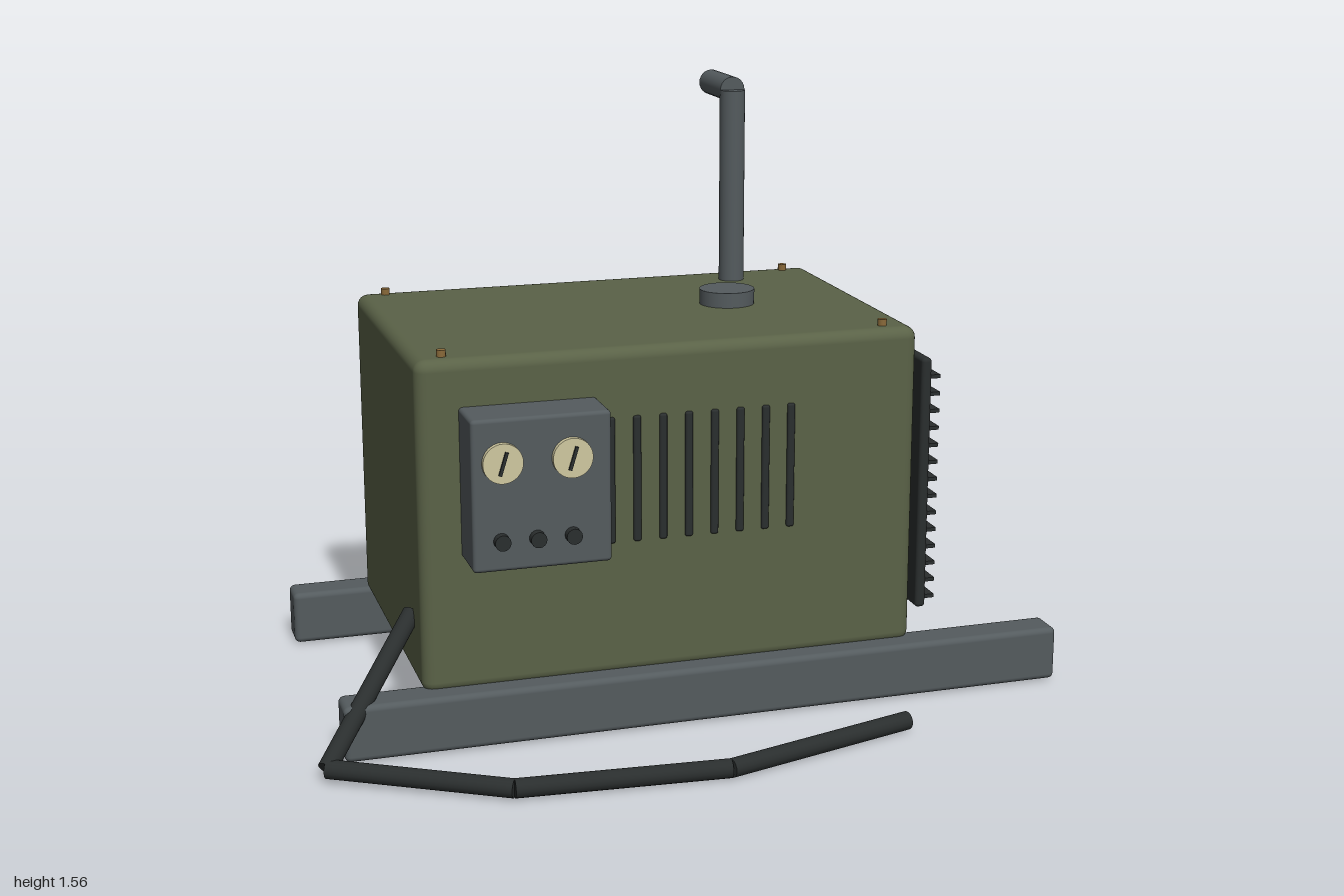
import * as THREE from 'three';
import { RoundedBoxGeometry } from 'three/addons/geometries/RoundedBoxGeometry.js';

const paint = (color) => new THREE.MeshStandardMaterial({ color });

export function createModel() {
  const model = new THREE.Group();
  const green = paint(0x5a6247);
  const steel = paint(0x545b5e);
  const dark = paint(0x2a2e2e);
  const dial = paint(0xcfc8a0);
  const brass = paint(0x8a6a3a);

  const add = (name, geometry, material, x, y, z) => {
    const mesh = new THREE.Mesh(geometry, material);
    mesh.name = name;
    mesh.position.set(x, y, z);
    model.add(mesh);
    return mesh;
  };

  // Box given by its [min, max] extents, optionally with rounded edges
  const box = (name, material, [x0, x1], [y0, y1], [z0, z1], radius = 0) => {
    const size = [x1 - x0, y1 - y0, z1 - z0];
    const geometry = radius
      ? new RoundedBoxGeometry(...size, 3, radius)
      : new THREE.BoxGeometry(...size);
    return add(name, geometry, material, (x0 + x1) / 2, (y0 + y1) / 2, (z0 + z1) / 2);
  };

  // Cylinder between two points
  const rod = (name, material, from, to, radius, sides = 24) => {
    const a = new THREE.Vector3(...from);
    const b = new THREE.Vector3(...to);
    const axis = b.clone().sub(a);
    const mesh = add(name, new THREE.CylinderGeometry(radius, radius, axis.length(), sides),
      material, ...a.clone().add(b).multiplyScalar(0.5).toArray());
    mesh.quaternion.setFromUnitVectors(new THREE.Vector3(0, 1, 0), axis.normalize());
    return mesh;
  };

  // Housing and skids
  box('housing', green, [-0.71, 0.6], [0.14, 0.997], [-0.603, 0.24], 0.03);
  box('frontSkid', steel, [-0.92, 1], [0.01, 0.155], [0.2, 0.3], 0.015);
  box('backSkid', steel, [-0.92, 1], [0.01, 0.155], [-0.665, -0.565], 0.015);

  // Radiator with horizontal fins
  box('radiator', dark, [0.634, 0.662], [0.215, 0.9], [-0.562, 0.195], 0.01);
  for (let i = 0; i < 14; i++) {
    const y = 0.243 + i * 0.0466;
    box('radiatorFin', dark, [0.64, 0.687], [y - 0.005, y + 0.005], [-0.557, 0.19]);
  }

  // Vent slots, front and back, on the same pitch
  for (let i = 0; i < 12; i++) {
    const x = 0.254 - i * 0.068;
    const span = [x - 0.01, x + 0.01];
    if (i < 8) box('frontVent', dark, span, [0.495, 0.823], [0.225, 0.248], 0.006);
    box('backVent', dark, span, [0.495, 0.823], [-0.612, -0.588], 0.006);
  }

  // Control panel with two gauges and three knobs
  box('controlPanel', steel, [-0.605, -0.257], [0.495, 0.878], [0.23, 0.374], 0.01);
  for (const x of [-0.53, -0.357]) {
    rod('gauge', dial, [x, 0.77, 0.365], [x, 0.77, 0.388], 0.05, 32);
    const needle = box('gaugeNeedle', dark, [x - 0.004, x + 0.004], [0.74, 0.8], [0.386, 0.394]);
    needle.rotation.z = -0.3;
  }
  for (const x of [-0.535, -0.446, -0.357]) {
    rod('knob', dark, [x, 0.573, 0.365], [x, 0.573, 0.395], 0.02, 16);
  }

  // Filler cap and corner bolts on the roof
  rod('fillerCap', steel, [0.224, 0.985, -0.187], [0.224, 1.037, -0.187], 0.074, 32);
  for (const x of [-0.635, 0.518]) {
    for (const z of [-0.562, 0.192]) rod('roofBolt', brass, [x, 0.985, z], [x, 1.014, z], 0.012, 12);
  }

  // Exhaust stack turning to the back
  rod('exhaustStack', steel, [0.337, 0.95, -0.484], [0.337, 1.53, -0.484], 0.035);
  rod('exhaustOutlet', steel, [0.337, 1.531, -0.484], [0.337, 1.531, -0.673], 0.035);

  // Cable hanging from the end and lying around the front
  const path = [
    [-0.71, 0.315, 0.105], [-0.978, 0.04, 0.38], [-0.567, 0.032, 0.605],
    [-0.036, 0.03, 0.642], [0.488, 0.03, 0.493],
  ];
  for (let i = 1; i < path.length; i++) rod('cable', dark, path[i - 1], path[i], 0.024, 16);

  return model;
}
